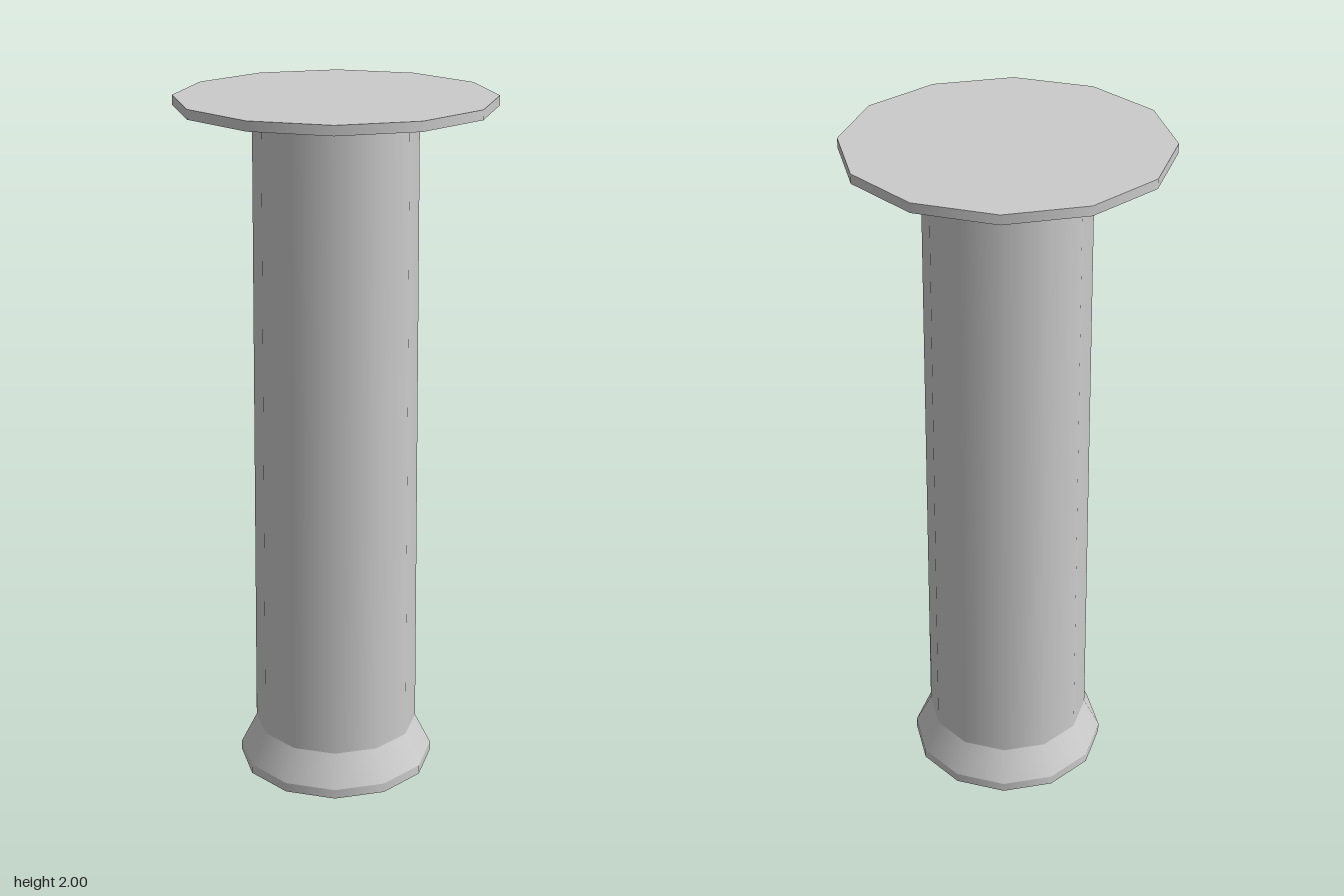
import * as THREE from 'three';

const SIDES = 12;

export function createModel() {
  const group = new THREE.Group();
  const material = new THREE.MeshStandardMaterial({ color: 0xcccccc });

  // One tapered twelve-sided ring from height y0 to y1
  const section = (name, y0, r0, y1, r1, open = true) => {
    const geometry = new THREE.CylinderGeometry(r1, r0, y1 - y0, SIDES, 1, open);
    geometry.translate(0, (y0 + y1) / 2, 0);
    const mesh = new THREE.Mesh(geometry, material);
    mesh.name = name;
    group.add(mesh);
  };

  // Flat cap closing a section, facing up or down
  const cap = (name, y, radius, up) => {
    const geometry = new THREE.CircleGeometry(radius, SIDES);
    geometry.rotateX(up ? -Math.PI / 2 : Math.PI / 2);
    geometry.translate(0, y, 0);
    const mesh = new THREE.Mesh(geometry, material);
    mesh.name = name;
    group.add(mesh);
  };

  // Foot: thin plinth, then a flare narrowing into the shaft
  cap('baseUnderside', 0, 0.288, false);
  section('basePlinth', 0, 0.288, 0.028, 0.288);
  section('baseFlare', 0.028, 0.288, 0.122, 0.241);

  // Slightly tapered shaft
  section('shaft', 0.122, 0.241, 1.963, 0.227);

  // Wide top disc with a shallow sloping underside
  section('topUnderside', 1.963, 0.227, 1.973, 0.442);
  section('topRim', 1.973, 0.442, 2, 0.442);
  cap('topSurface', 2, 0.442, true);

  return group;
}
